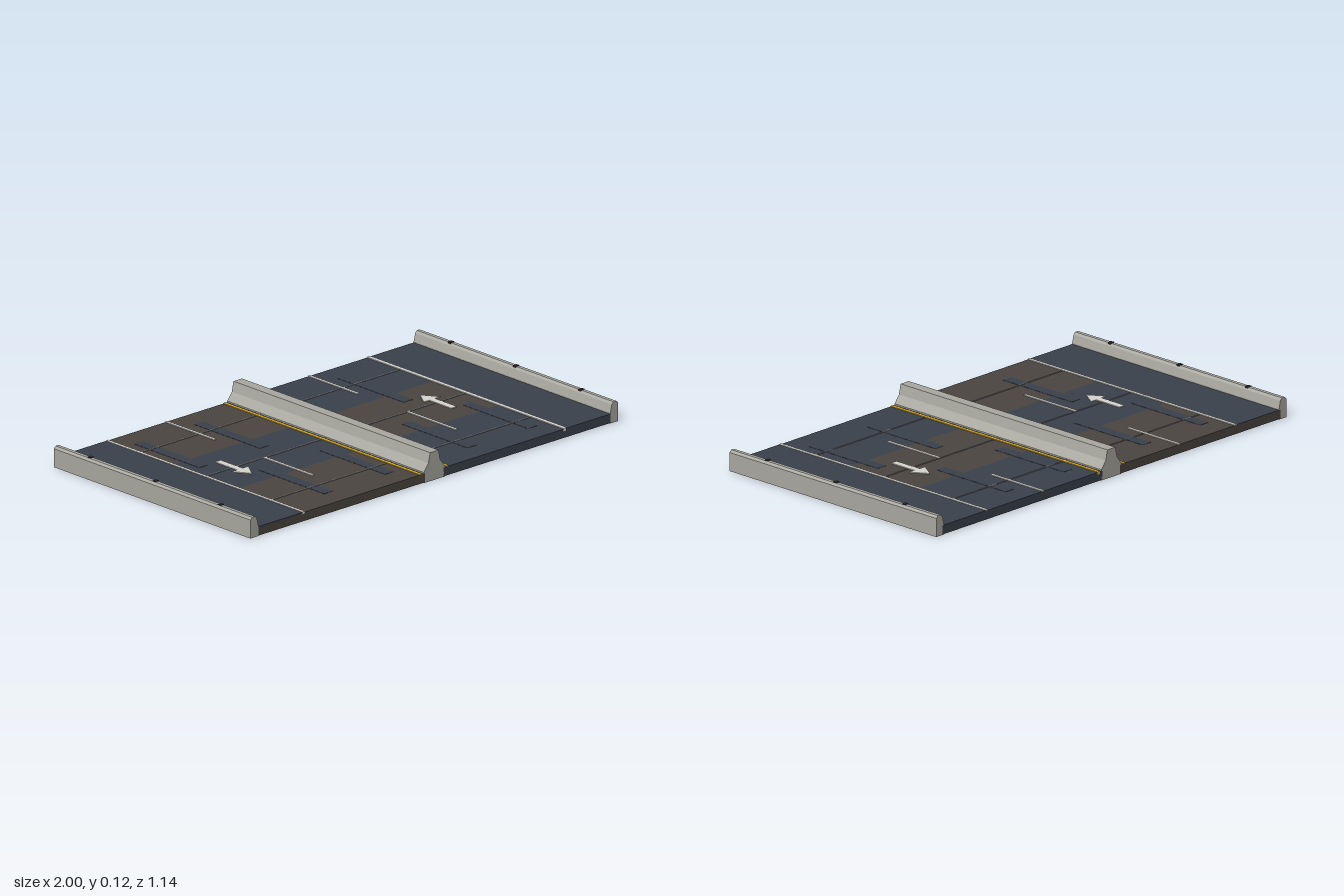
import * as THREE from 'three';

const HALF = 0.57; // half length of the road along z
const mat = (color) => new THREE.MeshStandardMaterial({ color, flatShading: true });

export function createModel() {
  const root = new THREE.Group();
  const dark = mat(0x3a414c), brown = mat(0x4b4540), concrete = mat(0xa9a8a0);
  const white = mat(0xd8d6d0), yellow = mat(0xdcae2c), seam = mat(0x77777a), black = mat(0x2a2a2a);

  const add = (name, geo, material) => {
    const mesh = new THREE.Mesh(geo, material);
    mesh.name = name;
    root.add(mesh);
    return mesh;
  };
  const box = (name, material, x0, x1, y0, y1, z0, z1) =>
    add(name, new THREE.BoxGeometry(Math.abs(x1 - x0), y1 - y0, z1 - z0), material)
      .position.set((x0 + x1) / 2, (y0 + y1) / 2, (z0 + z1) / 2);
  // closed cross-section swept along the road
  const sweep = (name, pts, material) => {
    const shape = new THREE.Shape(pts.map(([x, y]) => new THREE.Vector2(x, y)));
    const geo = new THREE.ExtrudeGeometry(shape, { depth: HALF * 2, bevelEnabled: false });
    add(name, geo.translate(0, 0, -HALF), material);
  };

  const BASE = 0.039, PATCH = 0.04, JOINT = 0.041, PAINT = 0.042;

  // median barrier, flared at the foot
  const half = [[0.057, 0], [0.057, 0.045], [0.032, 0.078], [0.023, 0.12]];
  sweep('medianBarrier', [...half, ...half.map(([x, y]) => [-x, y]).reverse()], concrete);

  for (const s of [-1, 1]) {
    // three slabs per carriageway in alternating colours
    const cuts = [-HALF, -0.19, 0.19, HALF];
    for (let i = 0; i < 3; i++) {
      const isBrown = (i === 1) === (s === 1);
      box('roadSlab', isBrown ? brown : dark, s * 0.05, s * 0.965, 0.002, BASE, cuts[i], cuts[i + 1]);
    }
    box('shoulder', dark, s * 0.71, s * 0.965, 0.03, PATCH, -HALF, HALF);

    // long repair strips, staggered between the two ends
    const strips = s < 0
      ? [[-0.635, -1], [-0.305, -1], [-0.481, 1], [-0.15, 1]]
      : [[0.145, -1], [0.476, -1], [0.298, 1], [0.627, 1]];
    for (const [x, e] of strips) {
      box('repairStrip', dark, x - 0.024, x + 0.024, 0.03, PATCH, e * 0.28 - 0.19, e * 0.28 + 0.19);
    }

    // cross joints and drain caps on the parapet
    for (const z of [-0.378, 0, 0.378]) {
      box('crossJoint', seam, s * 0.055, s * 0.71, 0.03, JOINT, z - 0.003, z + 0.003);
      box('parapetJoint', black, s * 0.97, s * 0.99, 0.08, 0.0895, z - 0.008, z + 0.008);
    }

    // painted lines
    box('edgeLine', white, s * 0.703, s * 0.717, 0.03, PAINT, -HALF, HALF);
    box('medianLine', yellow, s * 0.065, s * 0.08, 0.03, PAINT, -HALF, HALF);
    for (const z of [-HALF, 0]) {
      box('laneDash', white, s * 0.383, s * 0.396, 0.03, PAINT, z, z + 0.285);
    }

    // direction arrow: drawn pointing to +z, turned round on the +x side
    const arrow = new THREE.Shape([[-0.015, 0.093], [0.015, 0.093], [0.015, -0.035], [0.045, -0.035],
      [0, -0.105], [-0.045, -0.035], [-0.015, -0.035]].map(([x, y]) => new THREE.Vector2(x, y)));
    const geo = new THREE.ExtrudeGeometry(arrow, { depth: 0.003, bevelEnabled: false }).rotateX(-Math.PI / 2);
    const mesh = add('directionArrow', geo, white);
    mesh.position.set(s * 0.555, PAINT - 0.003, 0);
    mesh.rotation.y = s > 0 ? Math.PI : 0;

    // outer parapet with chamfered top
    const edge = [[1, 0], [1, 0.078], [0.99, 0.087], [0.974, 0.087], [0.965, 0.078], [0.957, 0.045], [0.957, 0]];
    sweep('parapet', edge.map(([x, y]) => [s * x, y]), concrete);
  }
  return root;
}
